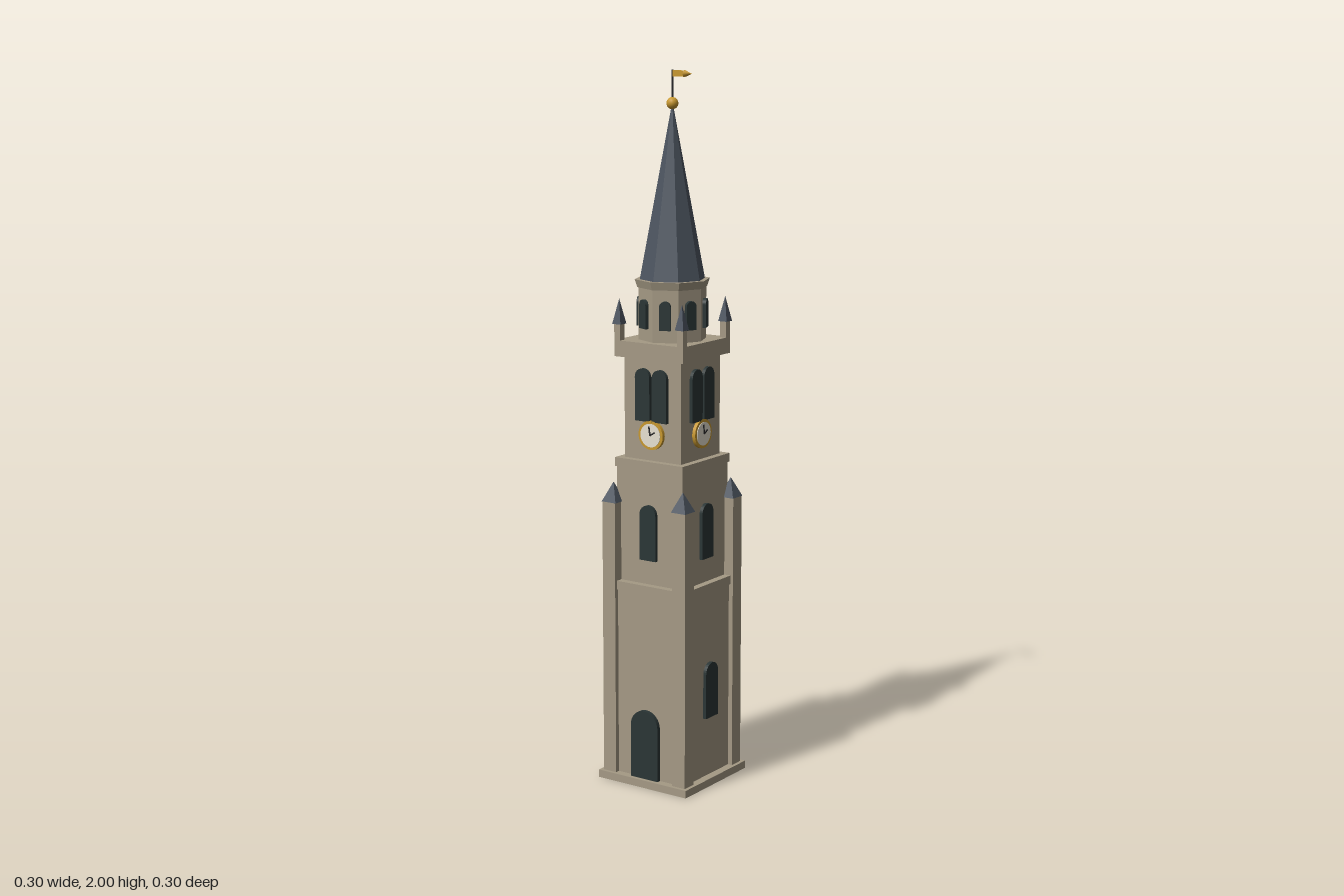
import * as THREE from 'three';

const mat = (name, color) => {
  const m = new THREE.MeshStandardMaterial({ color });
  m.name = name;
  return m;
};

export function createModel() {
  const stone = mat('stone', 0xa59a85);
  const slate = mat('slate', 0x4d5560);
  const dark = mat('dark opening', 0x2b3636);
  const gold = mat('gold', 0xc8982f);
  const ivory = mat('ivory', 0xe8e2d2);
  const iron = mat('iron', 0x2a2a2c);

  const tower = new THREE.Group();
  tower.name = 'clockTower';

  const add = (parent, name, geometry, material, x = 0, y = 0, z = 0) => {
    const mesh = new THREE.Mesh(geometry, material);
    mesh.name = name;
    mesh.position.set(x, y, z);
    parent.add(mesh);
    return mesh;
  };
  // Square block from half width and its bottom and top heights
  const block = (name, half, y0, y1, x = 0, z = 0) =>
    add(tower, name, new THREE.BoxGeometry(half * 2, y1 - y0, half * 2), stone, x, (y0 + y1) / 2, z);
  // Square pyramid with sides parallel to the walls
  const pyramid = (name, half, y0, y1, x, z) => {
    const g = new THREE.ConeGeometry(half * Math.SQRT2, y1 - y0, 4).toNonIndexed();
    g.rotateY(Math.PI / 4);
    g.computeVertexNormals();
    add(tower, name, g, slate, x, (y0 + y1) / 2, z);
  };
  // Octagonal ring or drum with corners on the axes
  const octagon = (name, rTop, rBottom, y0, y1, material) => {
    const g = new THREE.CylinderGeometry(rTop, rBottom, y1 - y0, 8).toNonIndexed();
    g.computeVertexNormals();
    add(tower, name, g, material, 0, (y0 + y1) / 2, 0);
  };
  // Round-headed opening standing proud of a wall at distance z
  const arch = (parent, name, half, y0, y1, z, x = 0, depth = 0.012) => {
    const s = new THREE.Shape();
    s.moveTo(-half, y0);
    s.lineTo(half, y0);
    s.lineTo(half, y1 - half);
    s.absarc(0, y1 - half, half, 0, Math.PI, false);
    s.closePath();
    const g = new THREE.ExtrudeGeometry(s, { depth, bevelEnabled: false, curveSegments: 8 });
    add(parent, name, g, dark, x, 0, z - 0.002);
  };

  // Stacked square stages and their ledges
  block('plinth', 0.151, 0, 0.022);
  block('lowerShaft', 0.127, 0.022, 0.56);
  block('stringCourse', 0.132, 0.56, 0.585);
  block('upperShaft', 0.111, 0.585, 0.91);
  block('shaftCornice', 0.115, 0.91, 0.935);
  block('belfry', 0.095, 0.935, 1.22);
  block('belfryCornice', 0.115, 1.22, 1.265);

  // Corner buttresses and upper pinnacles
  for (const sx of [-1, 1]) {
    for (const sz of [-1, 1]) {
      block('buttress', 0.0215, 0.022, 0.81, sx * 0.119, sz * 0.119);
      pyramid('buttressCap', 0.024, 0.81, 0.865, sx * 0.118, sz * 0.118);
      block('pinnacleShaft', 0.01, 1.265, 1.31, sx * 0.105, sz * 0.105);
      pyramid('pinnacleCap', 0.014, 1.31, 1.38, sx * 0.105, sz * 0.105);
    }
  }

  // Openings and clock on each of the four faces
  for (let i = 0; i < 4; i++) {
    const face = new THREE.Group();
    face.name = 'wallFace';
    face.rotation.y = (i * Math.PI) / 2;
    tower.add(face);

    if (i === 0) arch(face, 'door', 0.046, 0.022, 0.222, 0.127, 0, 0.014);
    else arch(face, 'lowerWindow', 0.03, 0.195, 0.355, 0.127);
    arch(face, 'upperWindow', 0.027, 0.655, 0.812, 0.111);
    for (const s of [-1, 1]) arch(face, 'belfryWindow', 0.0245, 1.045, 1.192, 0.095, s * 0.0285);

    const clock = new THREE.Group();
    clock.name = 'clock';
    clock.position.set(0, 1.008, 0.095);
    face.add(clock);
    const disc = (r, d) => new THREE.CylinderGeometry(r, r, d, 24).rotateX(Math.PI / 2);
    add(clock, 'clockRim', disc(0.041, 0.01), gold, 0, 0, 0.005);
    add(clock, 'clockDial', disc(0.033, 0.004), ivory, 0, 0, 0.01);
    const hand = (name, length, angle) => {
      const g = new THREE.BoxGeometry(0.004, length, 0.002).translate(0, length / 2, 0);
      add(clock, name, g, iron, 0, 0, 0.013).rotation.z = angle;
    };
    hand('minuteHand', 0.026, 0.15);
    hand('hourHand', 0.018, -1.0);
  }

  // Octagonal lantern with a window on each side
  octagon('lantern', 0.095, 0.095, 1.265, 1.41, stone);
  octagon('lanternCollar', 0.105, 0.098, 1.41, 1.432, stone);
  for (let i = 0; i < 8; i++) {
    const side = new THREE.Group();
    side.name = 'lanternSide';
    side.rotation.y = ((i + 0.5) * Math.PI) / 4;
    tower.add(side);
    arch(side, 'lanternWindow', 0.016, 1.3, 1.38, 0.088);
  }

  // Spire, ball and weather vane
  octagon('spire', 0.002, 0.091, 1.432, 1.905, slate);
  add(tower, 'ball', new THREE.SphereGeometry(0.0165, 16, 12), gold, 0, 1.91, 0);
  add(tower, 'vanePole', new THREE.CylinderGeometry(0.003, 0.003, 0.09, 8), iron, 0, 1.955, 0);
  add(tower, 'vaneBlade', new THREE.BoxGeometry(0.042, 0.017, 0.004), gold, 0.021, 1.99, 0);
  const tip = new THREE.ConeGeometry(0.01, 0.024, 8).rotateZ(-Math.PI / 2);
  add(tower, 'vaneTip', tip, gold, 0.052, 1.99, 0);

  return tower;
}
